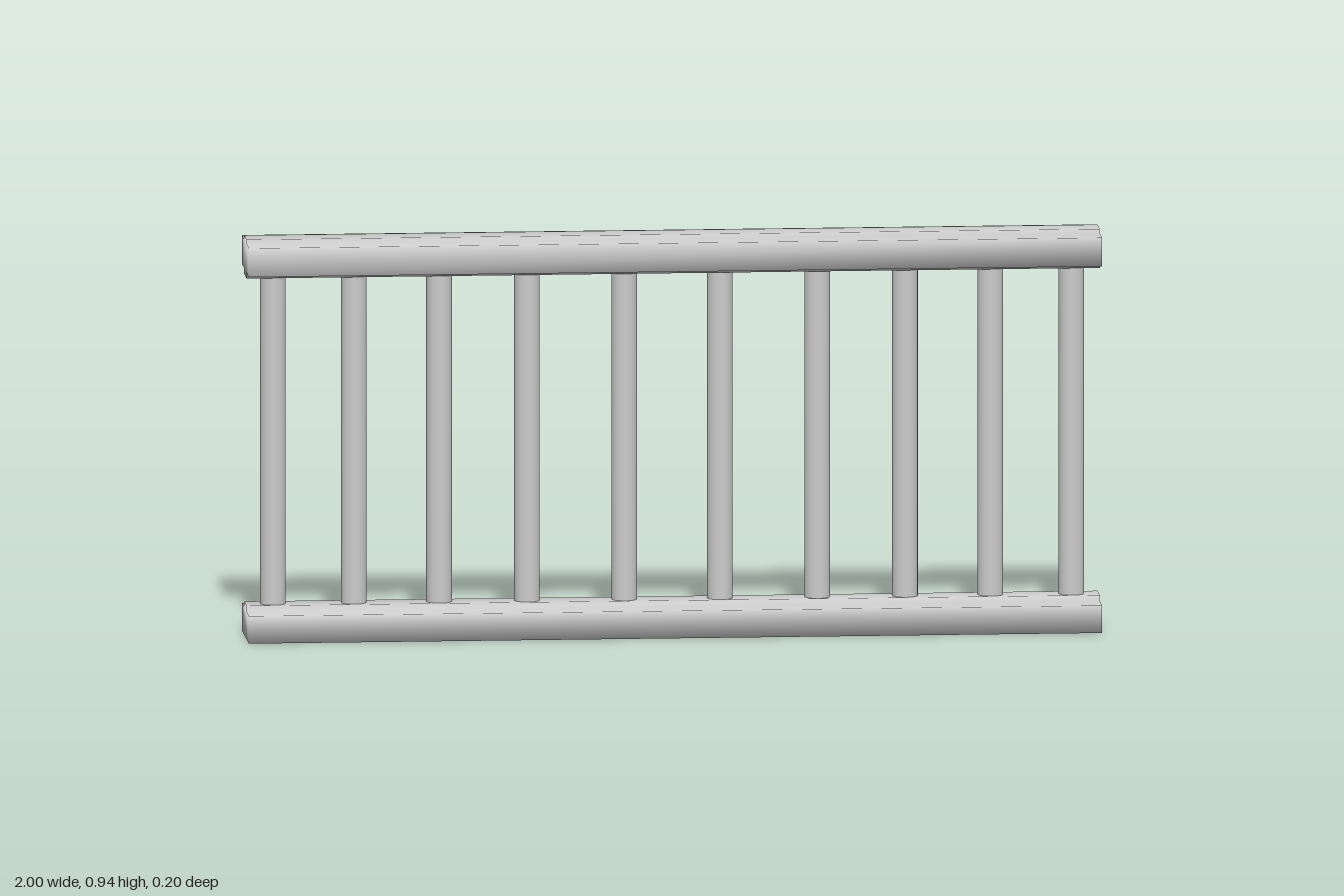
import * as THREE from 'three';
import { mergeVertices } from 'three/addons/utils/BufferGeometryUtils.js';

const LENGTH = 2;
const RAIL_HALF = 0.1;
const RIDGE_HALF = 0.033;
const POST_RADIUS = 0.03;

const material = new THREE.MeshStandardMaterial({ color: 0xcccccc });

// Rail running along x, made from a (z, y) cross-section, with soft shared normals
function makeRail(name, profile) {
  const shape = new THREE.Shape(profile.map(([z, y]) => new THREE.Vector2(z, y)));
  let geometry = new THREE.ExtrudeGeometry(shape, { depth: LENGTH, bevelEnabled: false });
  geometry.translate(0, 0, -LENGTH / 2);
  geometry.rotateY(Math.PI / 2);
  geometry.deleteAttribute('normal');
  geometry.deleteAttribute('uv');
  geometry = mergeVertices(geometry, 1e-4);
  geometry.computeVertexNormals();
  const rail = new THREE.Mesh(geometry, material);
  rail.name = name;
  return rail;
}

export function createModel() {
  const group = new THREE.Group();
  group.name = 'balustrade';

  // Bottom rail: flat base with a raised ridge on top
  group.add(makeRail('bottomRail', [
    [-RAIL_HALF, 0], [RAIL_HALF, 0], [RAIL_HALF, 0.065],
    [RIDGE_HALF, 0.065], [RIDGE_HALF, 0.079],
    [-RIDGE_HALF, 0.079], [-RIDGE_HALF, 0.065], [-RAIL_HALF, 0.065],
  ]));

  // Handrail: ridges above and below
  group.add(makeRail('topRail', [
    [-RAIL_HALF, 0.867], [-RIDGE_HALF, 0.867], [-RIDGE_HALF, 0.853],
    [RIDGE_HALF, 0.853], [RIDGE_HALF, 0.867], [RAIL_HALF, 0.867],
    [RAIL_HALF, 0.935], [RIDGE_HALF, 0.935], [RIDGE_HALF, 0.945],
    [-RIDGE_HALF, 0.945], [-RIDGE_HALF, 0.935], [-RAIL_HALF, 0.935],
  ]));

  // Round balusters, mirrored about the centre
  const bottom = 0.075;
  const top = 0.857;
  const postGeometry = new THREE.CylinderGeometry(POST_RADIUS, POST_RADIUS, top - bottom, 24);
  const balusters = new THREE.Group();
  balusters.name = 'balusters';
  for (const offset of [0.112, 0.34, 0.546, 0.746, 0.936]) {
    for (const side of [-1, 1]) {
      const post = new THREE.Mesh(postGeometry, material);
      post.name = 'baluster';
      post.position.set(side * offset, (bottom + top) / 2, 0);
      balusters.add(post);
    }
  }
  group.add(balusters);

  return group;
}
